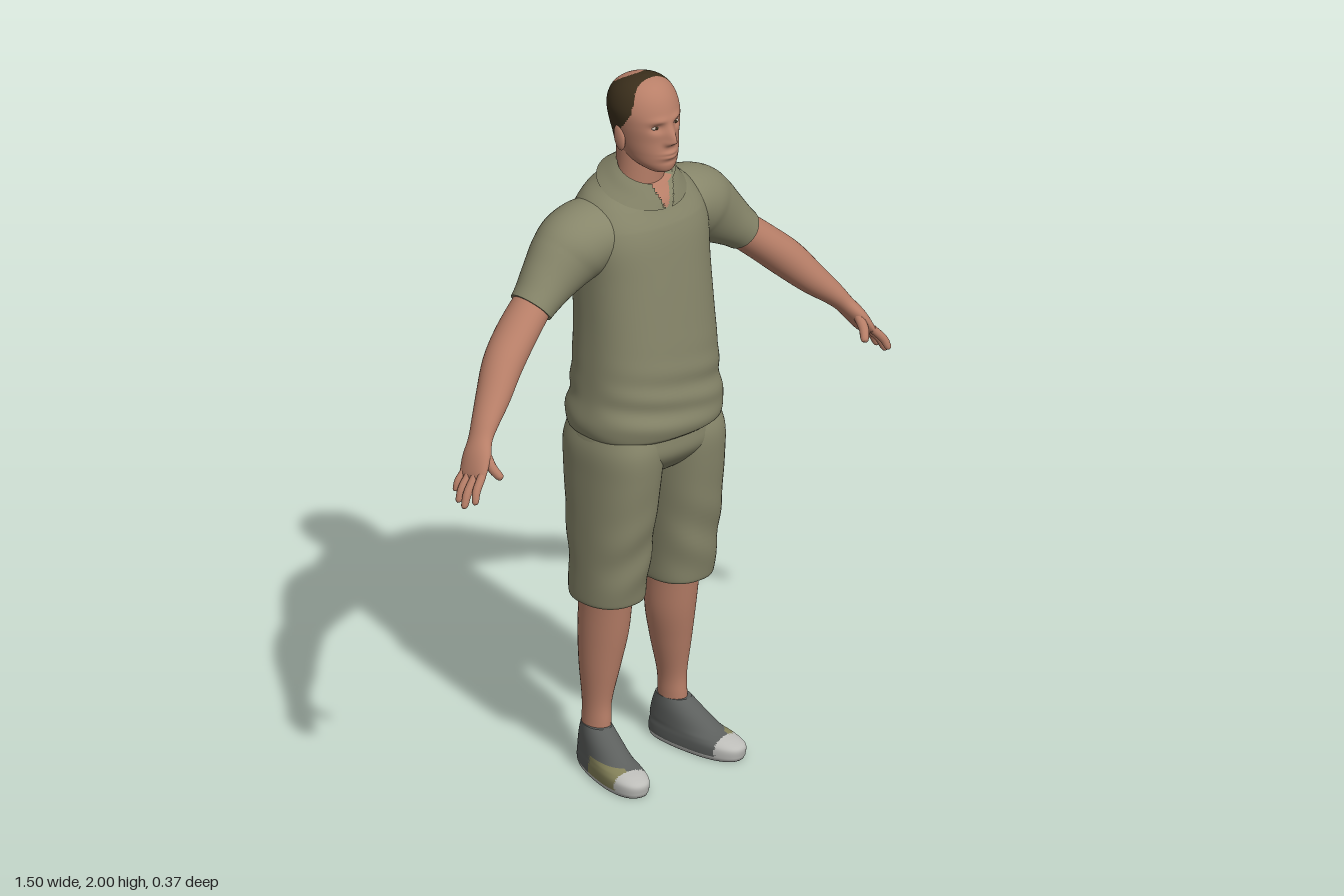
import * as THREE from 'three';

const mat = (name, color, side = THREE.FrontSide) => {
  const m = new THREE.MeshStandardMaterial({ color, side });
  m.name = name;
  return m;
};

// Smooth skin through cross-sections [x, y, z, radiusA, radiusB, power].
// flat: rings stay horizontal; otherwise they follow the path.
// bump moves each point, rule picks a material index per face (-1 drops it).
function loft(keys, { seg = 32, steps = 40, flat = true, bump, rule = () => 0, caps = true } = {}) {
  const curve = (f) => new THREE.CatmullRomCurve3(keys.map(f), false, 'catmullrom', 0.5);
  const path = curve((k) => new THREE.Vector3(k[0], k[1], k[2]));
  const size = curve((k) => new THREE.Vector3(k[3], k[4], k[5] ?? 2));
  const pts = [], tris = [];
  const ring = (t) => {
    const c = path.getPoint(t), r = size.getPoint(t);
    const T = flat ? new THREE.Vector3(0, 1, 0) : path.getTangent(t);
    const U = new THREE.Vector3(0, 0, 1).addScaledVector(T, -T.z).normalize();
    const V = new THREE.Vector3().crossVectors(T, U);
    const pow = (v) => Math.sign(v) * Math.abs(v) ** (2 / r.z);
    for (let j = 0; j < seg; j++) {
      const a = (j / seg) * Math.PI * 2;
      const p = c.clone().addScaledVector(V, r.x * pow(Math.cos(a))).addScaledVector(U, r.y * pow(Math.sin(a)));
      if (bump) bump(p);
      pts.push(p);
    }
  };
  for (let i = 0; i <= steps; i++) ring(i / steps);
  for (let i = 0; i < steps; i++) for (let j = 0; j < seg; j++) {
    const a = i * seg + j, b = i * seg + (j + 1) % seg;
    tris.push([a, a + seg, b], [b, a + seg, b + seg]);
  }
  if (caps) for (const t of [0, 1]) {
    const o = pts.length;
    ring(t);
    const c = new THREE.Vector3();
    for (let j = 0; j < seg; j++) c.addScaledVector(pts[o + j], 1 / seg);
    pts.push(c);
    for (let j = 0; j < seg; j++) {
      const a = o + j, b = o + (j + 1) % seg;
      tris.push(t ? [o + seg, b, a] : [o + seg, a, b]);
    }
  }
  const byMat = [];
  for (const t of tris) {
    const mid = new THREE.Vector3();
    t.forEach((i) => mid.addScaledVector(pts[i], 1 / 3));
    const m = rule(mid);
    if (m >= 0) (byMat[m] ??= []).push(...t);
  }
  const g = new THREE.BufferGeometry().setFromPoints(pts);
  g.setIndex(byMat.flat());
  let start = 0;
  byMat.forEach((list, m) => { g.addGroup(start, list.length, m); start += list.length; });
  g.computeVertexNormals();
  return g;
}

export function createModel() {
  const model = new THREE.Group();
  const skin = mat('skin', 0xb87f68), hair = mat('hair', 0x3b2f1c);
  const cloth = mat('shirt cloth', 0x87866a, THREE.DoubleSide), shortsCloth = mat('shorts cloth', 0x87866a);
  const shoeGrey = mat('shoe grey', 0x5c5f5d), pale = mat('toe cap', 0xbcbcb8);
  const olive = mat('shoe panel', 0x85825a), soleDark = mat('sole', 0x3c3d3d), eyeWhite = mat('eye white', 0xc4b3a6);
  const add = (name, geo, material, parent = model) => {
    const m = new THREE.Mesh(geo, Array.isArray(material) ? material : [material]);
    if (!geo.groups.length) m.material = material;
    m.name = name;
    parent.add(m);
    return m;
  };
  const gauss = (v, s) => Math.exp(-((v / s) ** 2));

  // Shirt body, with the neckline tipped forward and an open V
  add('shirtBody', loft([
    [0, 0.998, -0.01, 0.2, 0.16, 2.4], [0, 1.01, -0.01, 0.212, 0.17, 2.4], [0, 1.045, -0.01, 0.217, 0.174, 2.4],
    [0, 1.11, -0.009, 0.206, 0.165, 2.4], [0, 1.2, -0.008, 0.2, 0.16, 2.4], [0, 1.32, -0.013, 0.194, 0.153, 2.4],
    [0, 1.45, -0.025, 0.193, 0.15, 2.4], [0, 1.55, -0.035, 0.198, 0.146, 2.4], [0, 1.61, -0.04, 0.188, 0.136, 2.3],
    [0, 1.655, -0.036, 0.16, 0.118, 2.2], [0, 1.69, -0.026, 0.122, 0.098, 2], [0, 1.72, -0.028, 0.09, 0.078, 2],
  ], {
    seg: 96, steps: 96,
    bump: (p) => {
      if (p.y > 1.6) p.y -= (p.y - 1.6) * (p.z + 0.03) * 2.8;
      // soft folds near the waist, shallow groove down the back
      const fold = 0.004 * gauss(p.y - 1.1, 0.09) * Math.sin(p.y * 75 + p.x * 14);
      p.z += Math.sign(p.z) * fold * Math.min(1, Math.abs(p.z) * 15);
      if (p.z < 0) p.z += 0.01 * gauss(p.x, 0.04) * gauss(p.y - 1.4, 0.2);
    },
    rule: (p) => (p.z > 0 && Math.abs(p.x) < (p.y - 1.635) * 0.6 ? 1 : 0),
  }), [cloth, skin]);

  // Folded collar, open at the front
  const collar = add('collar', loft([
    [0, -0.026, 0, 0.126, 0.119], [0, -0.005, 0, 0.108, 0.104], [0, 0.015, 0, 0.093, 0.088], [0, 0.03, 0, 0.08, 0.076],
  ], {
    seg: 72, steps: 16, caps: false,
    rule: (p) => (p.z > 0 && Math.abs(p.x) < 0.012 + (p.y + 0.026) * 0.45 ? -1 : 0),
  }), cloth);
  collar.rotation.x = 0.35;
  collar.position.set(0, 1.71, -0.013);

  // Neck
  add('neck', loft([
    [0, 1.62, -0.035, 0.075, 0.066], [0, 1.7, -0.03, 0.069, 0.063], [0, 1.76, -0.027, 0.066, 0.062], [0, 1.83, -0.025, 0.066, 0.062],
  ]), skin);

  // Head with nose, brows, eye sockets and lips; hair is a ring with a bald crown
  add('head', loft([
    [0, 1.744, 0.05, 0.015, 0.02], [0, 1.754, 0.046, 0.036, 0.044], [0, 1.775, 0.024, 0.058, 0.073],
    [0, 1.805, 0.001, 0.071, 0.098], [0, 1.84, -0.006, 0.08, 0.1], [0, 1.88, -0.011, 0.088, 0.105],
    [0, 1.92, -0.016, 0.092, 0.102], [0, 1.955, -0.018, 0.082, 0.09], [0, 1.98, -0.016, 0.062, 0.067],
    [0, 1.995, -0.013, 0.034, 0.036], [0, 2, -0.012, 0.002, 0.002],
  ], {
    seg: 104, steps: 110,
    bump: (p) => {
      if (p.z < 0.02) return;
      const ax = Math.abs(p.x), y = p.y;
      p.z += 0.025 * gauss(p.x, 0.014) * gauss(y - 1.845, y < 1.845 ? 0.012 : 0.032)
        + 0.006 * gauss(ax - 0.013, 0.008) * gauss(y - 1.838, 0.009)
        - 0.011 * gauss(ax - 0.034, 0.017) * gauss(y - 1.883, 0.012)
        + 0.005 * gauss(ax - 0.03, 0.025) * gauss(y - 1.903, 0.009)
        + 0.005 * gauss(p.x, 0.024) * (gauss(y - 1.809, 0.005) + gauss(y - 1.797, 0.005))
        - 0.003 * gauss(p.x, 0.03) * gauss(y - 1.783, 0.007);
    },
    rule: (p) => {
      const front = 0.03 - Math.max(0, 1.92 - p.y) * 0.6 - Math.max(0, p.y - 1.95) * 0.4;
      const crown = p.y > 1.92 && (p.x / 0.045) ** 2 + ((p.z + 0.08) / 0.048) ** 2 < 1;
      return p.z < front && p.y > 1.86 + 0.94 * (p.z + 0.02) && !crown ? 1 : 0;
    },
  }), [skin, hair]);

  // Seat of the shorts
  add('shortsSeat', loft([
    [0, 0.85, -0.015, 0.07, 0.05], [0, 0.89, -0.013, 0.15, 0.11, 2.3], [0, 0.94, -0.012, 0.205, 0.152, 2.4],
    [0, 0.99, -0.012, 0.208, 0.157, 2.4], [0, 1.04, -0.012, 0.195, 0.148, 2.4],
  ], { seg: 56 }), shortsCloth);

  const ball = new THREE.SphereGeometry(1, 24, 16);
  for (const s of [1, -1]) {
    const side = s > 0 ? 'left' : 'right';
    const mir = (keys) => keys.map(([x, ...rest]) => [x * s, ...rest]);
    const blob = (name, material, pos, scale) => {
      const m = add(side + name, ball, material);
      m.position.set(pos[0] * s, pos[1], pos[2]);
      m.scale.set(...scale);
      return m;
    };

    // Face details
    blob('Eye', eyeWhite, [0.034, 1.883, 0.0735], [0.013, 0.005, 0.006]);
    blob('Iris', hair, [0.034, 1.883, 0.0765], [0.0052, 0.0046, 0.0045]);
    blob('Ear', skin, [0.084, 1.84, -0.014], [0.009, 0.036, 0.02]).rotation.x = -0.2;

    // Sleeve and shoulder
    add(side + 'Sleeve', loft(mir([
      [0.08, 1.59, -0.05, 0.06, 0.095], [0.14, 1.575, -0.053, 0.09, 0.108], [0.205, 1.55, -0.056, 0.102, 0.105],
      [0.25, 1.52, -0.057, 0.097, 0.092], [0.3, 1.48, -0.053, 0.08, 0.077], [0.345, 1.442, -0.047, 0.064, 0.067],
      [0.37, 1.42, -0.045, 0.058, 0.064],
    ]), { flat: false, seg: 40 }), cloth);

    // Arm and palm
    add(side + 'Arm', loft(mir([
      [0.32, 1.465, -0.05, 0.048, 0.052], [0.37, 1.42, -0.045, 0.051, 0.057], [0.44, 1.36, -0.03, 0.052, 0.06],
      [0.5, 1.305, -0.01, 0.052, 0.057], [0.56, 1.24, 0.02, 0.043, 0.049], [0.61, 1.19, 0.045, 0.032, 0.04],
      [0.64, 1.155, 0.06, 0.025, 0.037], [0.667, 1.118, 0.076, 0.023, 0.046], [0.69, 1.08, 0.088, 0.016, 0.046],
      [0.699, 1.064, 0.092, 0.007, 0.038],
    ]), { flat: false, steps: 60 }), skin);

    // Fingers and thumb: [base, tip, radius]
    [
      [[0.688, 1.085, 0.122], [0.733, 1.02, 0.142], 0.0115], [[0.692, 1.08, 0.1], [0.747, 1.003, 0.113], 0.012],
      [[0.692, 1.08, 0.078], [0.742, 1.01, 0.084], 0.0115], [[0.688, 1.085, 0.057], [0.729, 1.03, 0.056], 0.01],
      [[0.655, 1.13, 0.1], [0.643, 1.068, 0.148], 0.0135],
    ].forEach(([a, b, r], i) => {
      const at = (t, k) => [...a.map((v, n) => v + (b[n] - v) * t), r * k, r * k];
      const mid = at(0.5, 1);
      mid[0] += 0.006;
      add(side + (i < 4 ? 'Finger' + (i + 1) : 'Thumb'),
        loft(mir([at(0, 1), mid, at(0.85, 0.85), at(0.95, 0.6), at(1, 0.1)]), { flat: false, seg: 12, steps: 14 }), skin);
    });

    // Leg of the shorts, with faint creases
    add(side + 'ShortsLeg', loft(mir([
      [0.12, 0.51, -0.023, 0.089, 0.102, 2.3], [0.12, 0.525, -0.022, 0.092, 0.106, 2.3], [0.12, 0.6, -0.016, 0.094, 0.112, 2.3],
      [0.116, 0.75, -0.012, 0.1, 0.132, 2.3], [0.111, 0.88, -0.011, 0.105, 0.148, 2.3], [0.108, 0.96, -0.011, 0.106, 0.153, 2.3],
      [0.1, 1.02, -0.011, 0.1, 0.14, 2.3],
    ]), {
      seg: 48, steps: 50,
      bump: (p) => { p.z += 0.004 * Math.sin(p.y * 40 + p.x * s * 25) * gauss(p.y - 0.65, 0.12) * Math.sign(p.z) * Math.min(1, Math.abs(p.z) * 15); },
    }), shortsCloth);

    // Lower leg
    add(side + 'LowerLeg', loft(mir([
      [0.136, 0.08, -0.05, 0.036, 0.046], [0.134, 0.14, -0.05, 0.034, 0.046], [0.132, 0.2, -0.05, 0.036, 0.046],
      [0.125, 0.3, -0.047, 0.051, 0.062], [0.118, 0.4, -0.041, 0.063, 0.075], [0.118, 0.5, -0.031, 0.066, 0.079],
      [0.12, 0.6, -0.02, 0.07, 0.082],
    ])), skin);

    // Shoe, toes turned out
    const shoe = add(side + 'Shoe', loft([
      [0, 0, 0, 0.05, 0.15, 2.3], [0, 0.012, 0, 0.054, 0.155, 2.3], [0, 0.035, 0, 0.054, 0.155, 2.3],
      [0, 0.05, -0.012, 0.052, 0.14, 2.2], [0, 0.065, -0.036, 0.05, 0.116, 2.1], [0, 0.1, -0.061, 0.046, 0.083],
      [0, 0.13, -0.078, 0.04, 0.054],
    ], {
      seg: 72, steps: 48,
      bump: (p) => { p.x *= 1 + 1.3 * p.z; },
      rule: (p) => {
        if (p.y < 0.002) return 3;
        if (p.z > 0.1 || p.y < 0.012) return 1;
        return s * p.x > 0.012 && p.z > -0.03 && p.y < 0.062 ? 2 : 0;
      },
    }), [shoeGrey, pale, olive, soleDark]);
    shoe.rotation.y = s * 0.18;
    shoe.position.set(s * 0.15, 0, 0.028);
  }
  return model;
}
